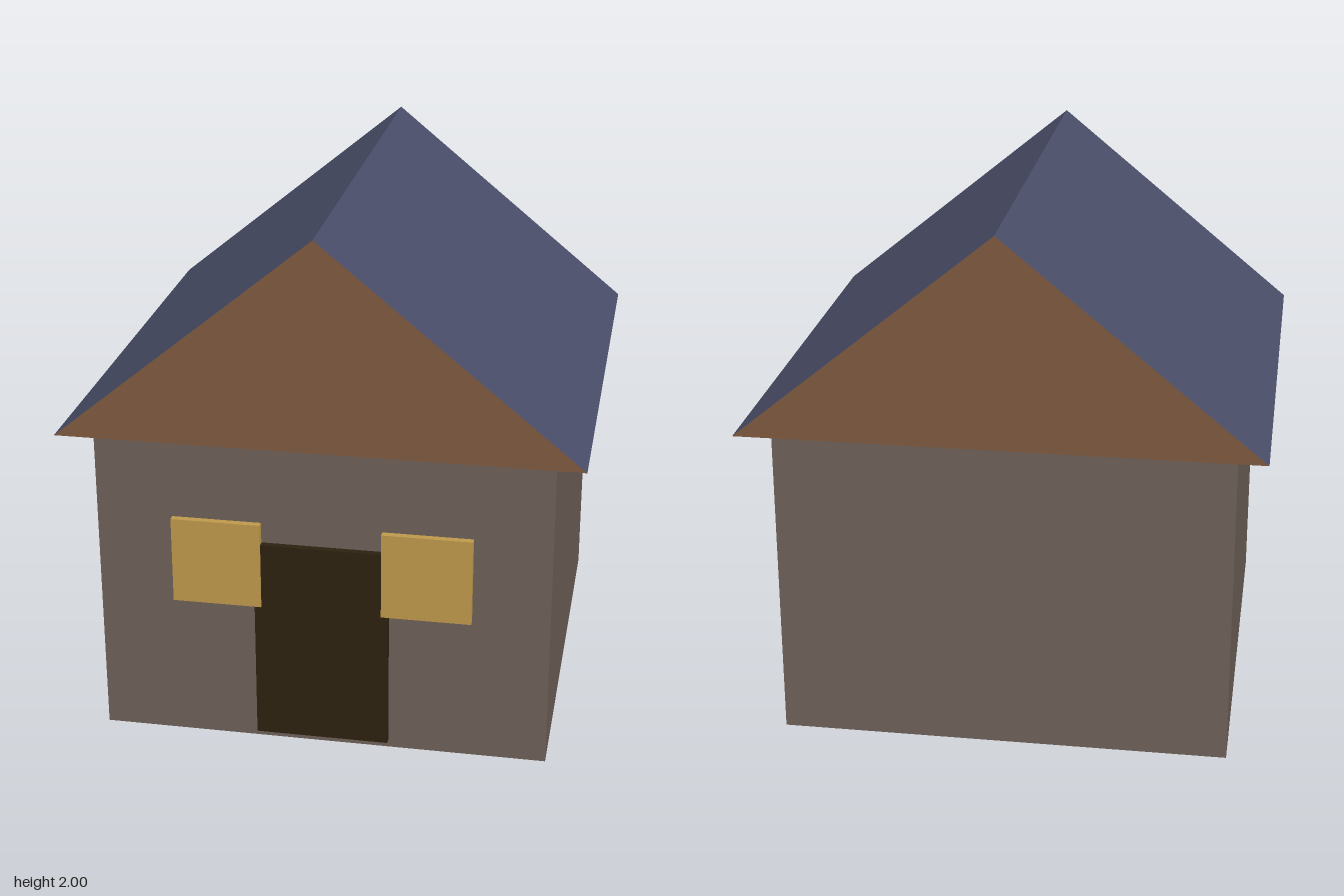
import * as THREE from 'three';

const W = 0.835;      // half width of the walls
const EAVE = 1.225;   // top of the walls, bottom of the roof
const RIDGE = 2;
const R = 0.945;      // half width and half length of the roof

function material(name, color, side = THREE.FrontSide) {
  const m = new THREE.MeshStandardMaterial({ color, side });
  m.name = name;
  return m;
}

// Flat polygon from three or four corners, counter-clockwise seen from outside
function panel(corners) {
  const g = new THREE.BufferGeometry();
  g.setAttribute('position', new THREE.Float32BufferAttribute(corners.flat(), 3));
  g.setIndex(corners.length === 4 ? [0, 1, 2, 0, 2, 3] : [0, 1, 2]);
  g.computeVertexNormals();
  return g;
}

export function createModel() {
  const house = new THREE.Group();
  house.name = 'house';

  const wallMat = material('wall taupe', 0x6f6259, THREE.DoubleSide);
  const gableMat = material('gable brown', 0x7f5a40, THREE.DoubleSide);
  const roofMat = material('roof slate blue', 0x4a4e69, THREE.DoubleSide);
  const doorMat = material('door dark brown', 0x2e2210);
  const windowMat = material('window yellow', 0xc09a4c);

  const add = (name, geometry, mat, x = 0, y = 0, z = 0) => {
    const mesh = new THREE.Mesh(geometry, mat);
    mesh.name = name;
    mesh.position.set(x, y, z);
    house.add(mesh);
    return mesh;
  };

  // Walls and ceiling, open underneath: drop the box's bottom face
  const walls = new THREE.BoxGeometry(2 * W, EAVE, 2 * W);
  const index = Array.from(walls.index.array);
  index.splice(18, 6);
  walls.setIndex(index);
  walls.clearGroups();
  add('walls', walls, wallMat, 0, EAVE / 2, 0);

  // Hollow roof: two slopes and two gable ends
  const slope = panel([[R, EAVE, R], [R, EAVE, -R], [0, RIDGE, -R], [0, RIDGE, R]]);
  const gable = panel([[-R, EAVE, R], [R, EAVE, R], [0, RIDGE, R]]);
  add('leftRoofSlope', slope, roofMat);
  add('rightRoofSlope', slope, roofMat).rotation.y = Math.PI;
  add('frontGable', gable, gableMat);
  add('backGable', gable, gableMat).rotation.y = Math.PI;

  // Door set through the front wall
  add('door', new THREE.BoxGeometry(0.495, 0.78, 0.05), doorMat, 0, 0.42, W);

  // Windows either side, overlapping the door edges
  const pane = new THREE.BoxGeometry(0.33, 0.33, 0.026);
  for (const s of [1, -1]) {
    add(s > 0 ? 'leftWindow' : 'rightWindow', pane, windowMat, s * 0.387, 0.725, 0.852);
  }

  return house;
}
